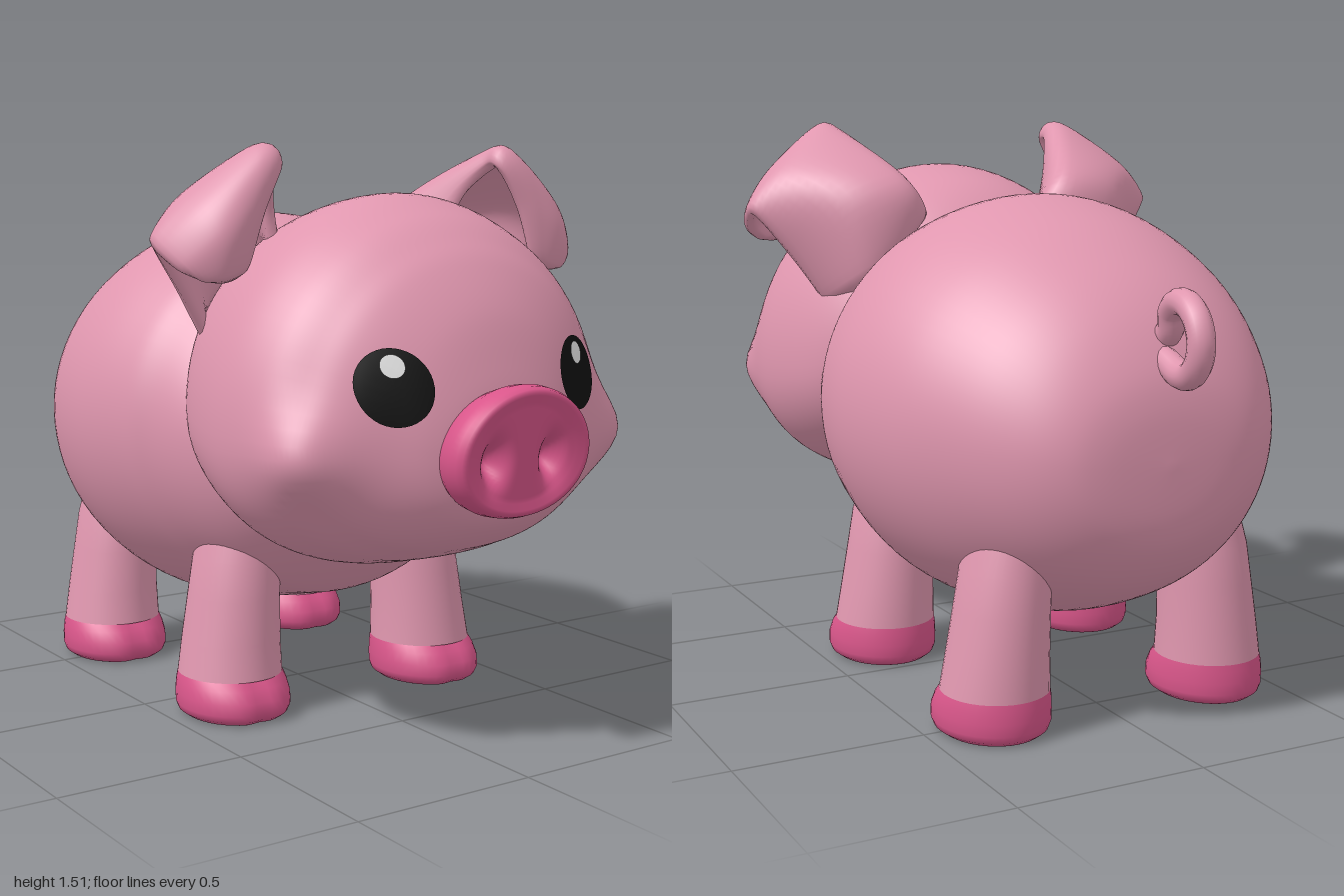
import * as THREE from 'three';
import { mergeVertices } from 'three/addons/utils/BufferGeometryUtils.js';

const mat = (name, color) => {
  const m = new THREE.MeshStandardMaterial({ color });
  m.name = name;
  return m;
};
const gauss = (d, s) => Math.exp(-(d * d) / (s * s));

// Catmull-Rom through a list of number arrays, t from 0 to 1
function spline(list, t) {
  const f = t * (list.length - 1);
  const i = Math.min(Math.floor(f), list.length - 2), k = f - i;
  const at = (j) => list[Math.max(0, Math.min(list.length - 1, j))];
  const [a, b, c, d] = [at(i - 1), at(i), at(i + 1), at(i + 2)];
  return b.map((_, n) => 0.5 * (2 * b[n] + (c[n] - a[n]) * k
    + (2 * a[n] - 5 * b[n] + 4 * c[n] - d[n]) * k * k
    + (3 * b[n] - a[n] - 3 * c[n] + d[n]) * k * k * k));
}

// Smooth skin over closed rings of points, turned so that it faces outwards
function loft(rings) {
  const n = rings[0].length, index = [], pts = rings.flat();
  for (let r = 0; r < rings.length - 1; r++) {
    for (let i = 0; i < n; i++) {
      const a = r * n + i, b = r * n + (i + 1) % n;
      index.push(a, b, b + n, a, b + n, a + n);
    }
  }
  const [a, b, c] = [0, 0, 0].map(() => new THREE.Vector3());
  let volume = 0;
  for (let i = 0; i < index.length; i += 3) {
    a.fromArray(pts[index[i]]);
    b.fromArray(pts[index[i + 1]]);
    c.fromArray(pts[index[i + 2]]);
    volume += a.dot(b.cross(c));
  }
  if (volume < 0) index.reverse();
  let g = new THREE.BufferGeometry();
  g.setAttribute('position', new THREE.Float32BufferAttribute(pts.flat(), 3));
  g.setIndex(index);
  g = mergeVertices(g, 1e-5);
  g.computeVertexNormals();
  return g;
}

// Rounded volume along z from stations [z, centre y, half width, top, bottom]
function barrel(stations, lowPower, bump = (p) => p) {
  const rows = 80, seg = 80, rings = [];
  for (let r = 0; r <= rows; r++) {
    const [z, cy, w, top, bot] = spline(stations, r / rows);
    rings.push(Array.from({ length: seg }, (_, i) => {
      const a = (i / seg) * Math.PI * 2, c = Math.cos(a), s = Math.sin(a);
      const e = s < 0 ? 2 / lowPower : 1;
      const x = w * Math.sign(c) * Math.pow(Math.abs(c), e);
      const y = s < 0 ? cy - (cy - bot) * Math.pow(-s, e) : cy + (top - cy) * s;
      return bump([x, y, z]);
    }));
  }
  return loft(rings);
}

// Upright limb from sections [y, centre x, centre z, radius x, radius z]
function limb(sections, side, dz, cleft = 0) {
  return loft(sections.map(([y, cx, cz, rx, rz]) => Array.from({ length: 40 }, (_, i) => {
    const a = (i / 40) * Math.PI * 2, s = Math.sin(a);
    const dent = s > 0 && rx > 0 ? cleft * gauss(Math.cos(a), 0.2) : 0;
    return [side * (cx + rx * Math.cos(a)), y, cz + dz + rz * s - dent];
  })));
}

// Folded ear: rows from base to flap tip, each with four points across
const EAR = [
  [.27, 1.17, .32, .19, 1.24, .15, .36, 1.08, .11, .44, 1.0, .26],
  [.30, 1.34, .33, .26, 1.34, .15, .42, 1.28, .15, .53, 1.13, .28],
  [.345, 1.44, .40, .375, 1.465, .36, .53, 1.36, .30, .625, 1.25, .31],
  [.355, 1.43, .44, .39, 1.465, .44, .54, 1.35, .41, .635, 1.24, .35],
  [.41, 1.33, .45, .45, 1.34, .47, .53, 1.28, .47, .61, 1.20, .41],
  [.455, 1.20, .45, .48, 1.18, .46, .52, 1.17, .46, .56, 1.175, .44],
];
function earGeometry(side) {
  const U = 24, V = 40, e = 0.01, rings = [];
  const lo = (t) => Math.max(0, t - e), hi = (t) => Math.min(1, t + e);
  const point = (u, v) => {
    const row = spline(EAR, v);
    const [x, y, z] = spline([0, 3, 6, 9].map((k) => row.slice(k, k + 3)), u);
    return new THREE.Vector3(x * side, y, z);
  };
  for (let r = 0; r <= V; r++) {
    const v = r / V, front = [], back = [];
    for (let i = 0; i <= U; i++) {
      const u = i / U;
      const du = point(hi(u), v).sub(point(lo(u), v));
      const dv = point(u, hi(v)).sub(point(u, lo(v)));
      const round = (1 - Math.pow(2 * u - 1, 6)) * (1 - Math.pow(2 * v - 1, 12));
      const n = du.cross(dv).normalize().multiplyScalar(0.022 * Math.sqrt(round));
      front.push(point(u, v).add(n).toArray());
      if (i > 0 && i < U) back.unshift(point(u, v).sub(n).toArray());
    }
    rings.push([...front, ...back]);
  }
  return loft(rings);
}

// Thin oval laid on a surface along z, ignoring anything in front of maxZ
function decal(target, cx, cy, rx, ry, lift, maxZ = 2) {
  const g = new THREE.RingGeometry(0, 1, 40, 8), p = g.attributes.position;
  const ray = new THREE.Raycaster(), dir = new THREE.Vector3(0, 0, -1);
  for (let i = 0; i < p.count; i++) {
    const x = cx + p.getX(i) * rx, y = cy + p.getY(i) * ry;
    ray.set(new THREE.Vector3(x, y, 3), dir);
    const hit = ray.intersectObject(target).find((h) => h.point.z < maxZ);
    const q = hit ? hit.point.addScaledVector(hit.face.normal, lift) : new THREE.Vector3(x, y, 0.2);
    p.setXYZ(i, q.x, q.y, q.z);
  }
  g.computeVertexNormals();
  return g;
}

export function createModel() {
  const pig = new THREE.Group();
  pig.name = 'pig';
  const pink = mat('skin pink', 0xe097af), rose = mat('deep rose', 0xd9568a);
  const black = mat('eye black', 0x111111), white = mat('eye white', 0xf4f4f4);
  const add = (name, geometry, material) => {
    const m = new THREE.Mesh(geometry, material);
    m.name = name;
    pig.add(m);
    return m;
  };

  add('body', barrel([
    [-.845, .70, 0, .70, .70], [-.835, .71, .18, .84, .55], [-.80, .72, .285, .95, .46],
    [-.72, .73, .38, 1.07, .37], [-.60, .75, .465, 1.17, .30], [-.42, .76, .55, 1.265, .235],
    [-.20, .77, .592, 1.32, .212], [0, .77, .56, 1.29, .24], [.10, .76, .52, 1.24, .265],
    [.25, .74, .465, 1.11, .31], [.40, .70, .37, .95, .42], [.50, .66, .2, .8, .53], [.54, .65, 0, .65, .65],
  ], 2), pink);

  // Head with soft cheek bulges
  const head = add('head', barrel([
    [.02, .95, 0, .95, .95], [.05, .93, .27, 1.17, .72], [.12, .88, .41, 1.27, .62],
    [.25, .83, .50, 1.345, .52], [.46, .81, .552, 1.382, .44], [.62, .81, .525, 1.335, .465],
    [.72, .81, .455, 1.265, .50], [.78, .81, .39, 1.2, .525], [.84, .80, .29, 1.1, .565],
    [.88, .79, .21, .98, .61], [.90, .78, .13, .89, .67], [.91, .78, 0, .78, .78],
  ], 2.25, ([x, y, z]) => {
    const k = gauss(Math.hypot(Math.abs(x) - .45, y - .77, z - .72), .11);
    return [x + Math.sign(x) * .055 * k, y, z + .03 * k];
  }), pink);

  // Snout disc with two pressed-in nostrils, from steps [scale, z]
  const steps = [[.85, .87], [.93, .905], [.98, .93], [1, .955], [.985, .98], [.95, .995], [.9, 1]];
  for (let i = 1; i <= 24; i++) steps.push([.9 * (1 - i / 24), 1 - .008 * Math.min(1, i / 5)]);
  const snoutRings = steps.map(([s, z]) => Array.from({ length: 72 }, (_, i) => {
    const a = (i / 72) * Math.PI * 2, sn = Math.sin(a);
    const x = .205 * s * Math.cos(a) * (1 - .06 * sn), y = .782 + .162 * s * sn;
    const dent = z > .985 ? .06 * gauss(Math.abs(x) - .088, .03) * gauss(y - .765, .05) : 0;
    return [x, y, z - dent - (.94 - y) * .13];
  }));
  add('snout', loft(snoutRings), rose);

  for (const side of [1, -1]) {
    const word = side > 0 ? 'left' : 'right';
    add(word + 'Eye', decal(head, side * .28, .94, .086, .09, .006), black);
    add(word + 'EyeShine', decal(head, side * .28, .988, .027, .027, .0095), white);
    const ear = add(word + 'Ear', earGeometry(side), pink);
    if (side > 0) add('leftEarPatch', decal(ear, .43, 1.175, .06, .064, .006, .4), rose);

    // Legs and hooves
    for (const [end, dz] of [['Front', 0], ['Back', -.69]]) {
      add(word + end + 'Leg', limb([
        [.58, .27, .145, .09, .11], [.42, .293, .145, .113, .13], [.32, .303, .146, .12, .135],
        [.2, .314, .148, .13, .14], [.11, .32, .152, .139, .146],
      ], side, dz), pink);
      add(word + end + 'Hoof', limb([
        [.11, .32, .152, .139, .146], [.09, .321, .16, .145, .157], [.06, .322, .168, .149, .168],
        [.03, .322, .17, .149, .169], [.012, .322, .169, .142, .162], [0, .322, .168, .125, .145],
        [0, .322, .168, 0, 0],
      ], side, dz, .012), rose);
    }
  }

  // Curled tail
  const path = [[-.01, .97, -.70], [-.015, .945, -.79]];
  for (let i = 0; i <= 8; i++) {
    const t = i / 8, a = Math.PI * (1.5 * t - .55);
    const x = -.01 + .025 * Math.sin(t * Math.PI) - .02 * t;
    path.push([x, 1.01 + .088 * Math.sin(a), -.872 - .092 * Math.cos(a)]);
  }
  path.push([-.03, .98, -.72]);
  const curve = new THREE.CatmullRomCurve3(path.map((p) => new THREE.Vector3(...p)));
  add('tail', new THREE.TubeGeometry(curve, 72, .034, 14), pink);

  return pig;
}
